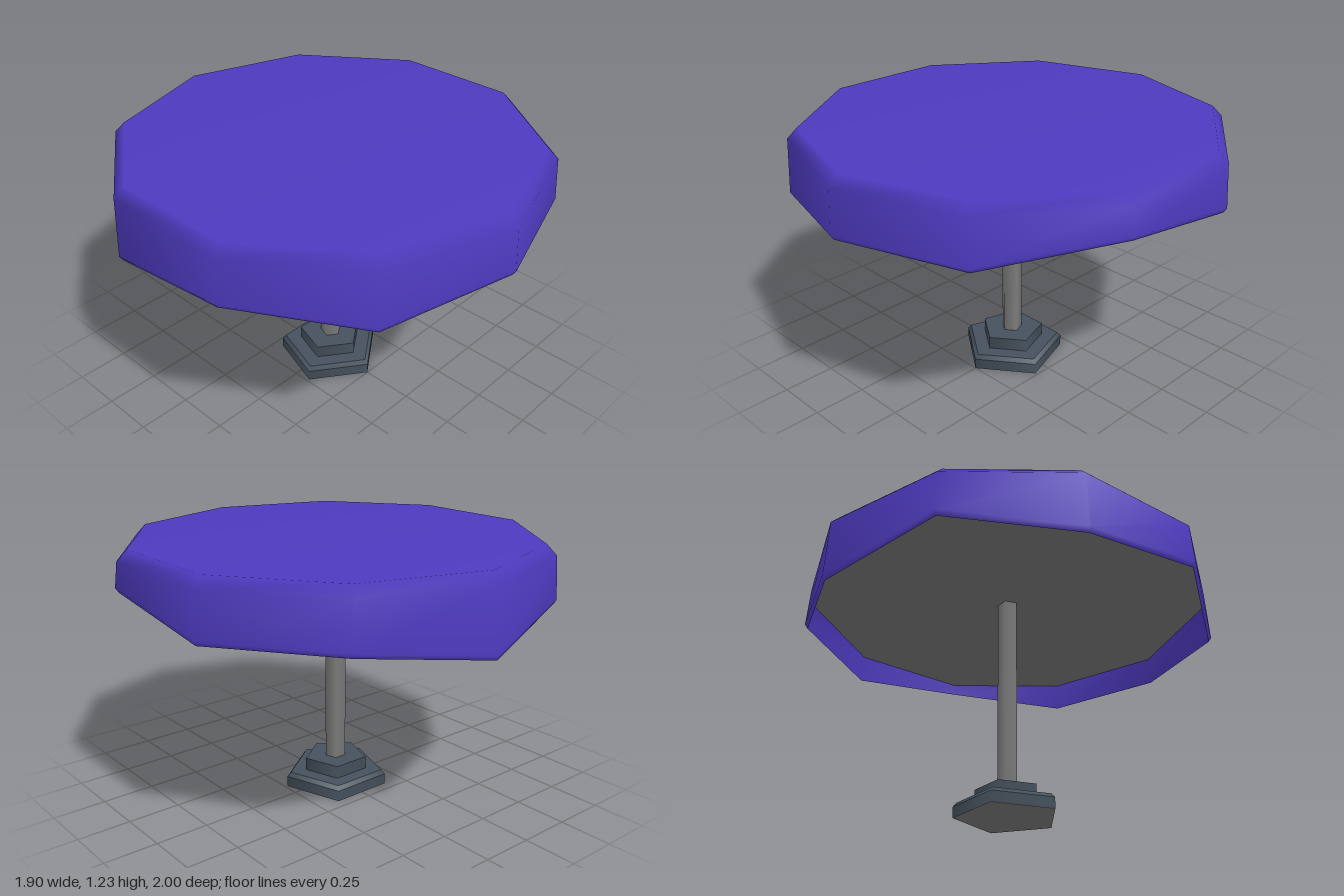
import * as THREE from 'three';

const SIDES = 10;
// Height of the hem at each corner, counted from the front towards +x
const HEM = [0.96, 0.96, 1.045, 0.96, 0.96, 0.877, 0.96, 0.885, 0.96, 0.905];
const UNDERSIDE = 1.1;

// Joins rings of { r, y(k) } with smooth quads; optionally closes the first ring with a flat centre
function ringSurface(rings, closeTop) {
  const pos = [], index = [];
  for (const { r, y } of rings) {
    for (let k = 0; k < SIDES; k++) {
      const a = (k / SIDES) * Math.PI * 2;
      pos.push(Math.sin(a) * r, y(k), Math.cos(a) * r);
    }
  }
  for (let i = 0; i < rings.length - 1; i++) {
    for (let k = 0; k < SIDES; k++) {
      const n = (k + 1) % SIDES;
      const a = i * SIDES + k, b = i * SIDES + n;
      const c = a + SIDES, d = b + SIDES;
      index.push(a, c, b, b, c, d);
    }
  }
  if (closeTop) {
    const centre = pos.length / 3;
    pos.push(0, rings[0].y(0), 0);
    for (let k = 0; k < SIDES; k++) index.push(centre, k, (k + 1) % SIDES);
  }
  const geo = new THREE.BufferGeometry();
  geo.setAttribute('position', new THREE.Float32BufferAttribute(pos, 3));
  geo.setIndex(index);
  geo.computeVertexNormals();
  return geo;
}

export function createModel() {
  const group = new THREE.Group();
  const material = (name, color) => {
    const m = new THREE.MeshStandardMaterial({ color });
    m.name = name;
    return m;
  };
  const purple = material('purple cloth', 0x4e3abf);
  const grey = material('grey metal', 0x7c7c7c);
  const slate = material('slate base', 0x46525e);

  const add = (name, geo, mat) => {
    const mesh = new THREE.Mesh(geo, mat);
    mesh.name = name;
    group.add(mesh);
    return mesh;
  };
  // Five-sided prism with one corner towards the front
  const prism = (name, rTop, rBottom, y0, y1, mat) => {
    const geo = new THREE.CylinderGeometry(rTop, rBottom, y1 - y0, 5);
    add(name, geo, mat).position.y = (y0 + y1) / 2;
  };

  // Cloth: flat top, bevelled rim and uneven hanging hem
  add('tablecloth', ringSurface([
    { r: 0.94, y: () => 1.228 },
    { r: 0.986, y: () => 1.18 },
    { r: 1, y: k => HEM[k] + 0.022 },
    { r: 0.985, y: k => HEM[k] },
  ], true), purple);

  // Inner face of the hanging cloth
  add('clothLining', ringSurface([
    { r: 0.985, y: k => HEM[k] },
    { r: 0.975, y: () => UNDERSIDE },
  ], false), purple);

  // Underside of the table top
  const under = new THREE.CircleGeometry(0.976, SIDES, Math.PI / 2);
  under.rotateX(Math.PI / 2);
  add('tabletopUnderside', under, grey).position.y = UNDERSIDE;

  // Pole and stepped base
  prism('pole', 0.05, 0.05, 0.13, UNDERSIDE, grey);
  prism('baseCollar', 0.153, 0.153, 0.07, 0.133, slate);
  prism('baseBevel', 0.232, 0.25, 0.052, 0.072, slate);
  prism('baseFoot', 0.25, 0.25, 0.002, 0.052, slate);
  prism('baseBottomPlate', 0.25, 0.25, 0, 0.002, grey);

  return group;
}
